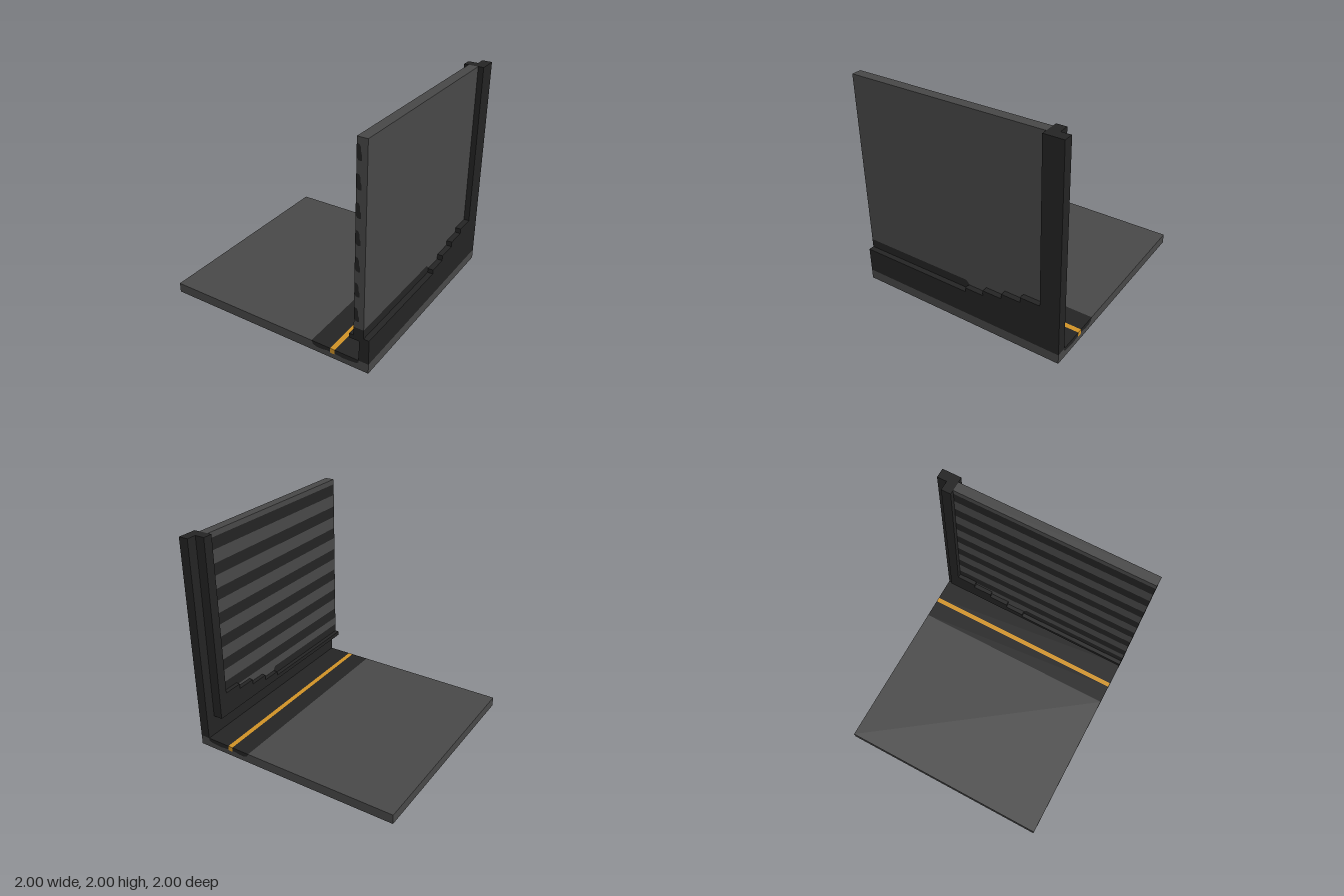
import * as THREE from 'three';

const mat = (name, color) => {
  const m = new THREE.MeshStandardMaterial({ color });
  m.name = name;
  return m;
};

const toShape = (pts) => new THREE.Shape(pts.map(([x, y]) => new THREE.Vector2(x, y)));

export function createModel() {
  const group = new THREE.Group();
  const gray = mat('concreteGray', 0x484848);
  const dark = mat('darkGray', 0x242424);
  const yellow = mat('lineYellow', 0xd09226);

  const add = (name, geometry, material) => {
    const mesh = new THREE.Mesh(geometry, material);
    mesh.name = name;
    group.add(mesh);
  };
  // Section in (x, y) run along z
  const alongZ = (name, pts, z0, z1, material) => {
    const g = new THREE.ExtrudeGeometry(toShape(pts), { depth: z1 - z0, bevelEnabled: false });
    add(name, g.translate(0, 0, z0), material);
  };
  // Side profile in (z, y) run along x
  const alongX = (name, pts, x0, x1, material) => {
    const g = new THREE.ExtrudeGeometry(toShape(pts.map(([z, y]) => [-z, y])), { depth: x1 - x0, bevelEnabled: false });
    add(name, g.rotateY(Math.PI / 2).translate(x0, 0, 0), material);
  };

  // Floor slab with a shallow channel for the dark lane and its yellow line
  const laneLeft = [[0.46, 0.09], [0.475, 0.058], [0.51, 0.046], [0.56, 0.046], [0.61, 0.055], [0.64, 0.055]];
  const line = [[0.64, 0.045], [0.685, 0.045]];
  const laneRight = [[0.685, 0.055], [0.72, 0.05], [0.77, 0.045], [0.82, 0.048], [0.89, 0.055], [0.91, 0.07], [0.91, 0.09]];
  alongZ('floorSlab', [[-1, 0], [1, 0], [1, 0.09], ...[...laneLeft, ...line, ...laneRight].reverse(), [-1, 0.09]], -1, 1, gray);
  alongZ('laneInner', [...laneLeft, [0.64, 0.09]], -1, 1, dark);
  alongZ('laneOuter', [...laneRight, [0.685, 0.09]], -1, 1, dark);
  alongZ('laneLine', [...line, [0.685, 0.09], [0.64, 0.09]], -1, 1, yellow);

  // Frame: rear post and lower rail, stepped up toward the post on both faces
  const steps = [[-0.09, 0.32], [-0.09, 0.36], [-0.27, 0.36], [-0.27, 0.41], [-0.455, 0.41],
    [-0.455, 0.457], [-0.635, 0.457], [-0.635, 0.505], [-0.82, 0.505]];
  const flat = [[-0.82, 0.32]];
  const frame = (name, x0, x1, zBack, yBottom, top) =>
    alongX(name, [[1, yBottom], [1, 0.32], ...top, [-0.82, 2], [zBack, 2], [zBack, yBottom]], x0, x1, dark);
  frame('frameOuterRail', 0.95, 1, -1, 0.09, steps);
  frame('frameOuterCore', 0.91, 0.95, -1, 0.09, flat);
  frame('frameInnerCore', 0.86, 0.91, -0.91, 0.28, flat);
  frame('frameInnerRail', 0.82, 0.86, -0.91, 0.28, steps);

  // Panel with dark bands let into its inner face
  const panel = [[0.95, 0.4], [0.95, 2], [0.86, 2]];
  for (let i = 6; i >= 0; i--) {
    const y = 0.46 + i * 0.2267;
    const band = [[0.86, y + 0.13], [0.885, y + 0.122], [0.895, y + 0.1], [0.897, y + 0.06],
      [0.905, y + 0.045], [0.905, y + 0.005], [0.895, y], [0.875, y + 0.003], [0.86, y + 0.022]];
    panel.push(...band);
    alongZ('panelBand', band, -0.82, 1, dark);
  }
  panel.push([0.86, 0.4]);
  alongZ('panel', panel, -0.82, 1, gray);

  // Panel foot: dark toward the front, gray behind the stepped rail
  alongX('panelFootDark', [[1, 0.32], [1, 0.4], [-0.065, 0.4], [-0.1, 0.36], [-0.1, 0.32]], 0.86, 0.95, dark);
  alongX('panelFootGray', [[-0.1, 0.32], [-0.1, 0.36], [-0.065, 0.4], [-0.82, 0.4], [-0.82, 0.32]], 0.86, 0.95, gray);

  return group;
}
